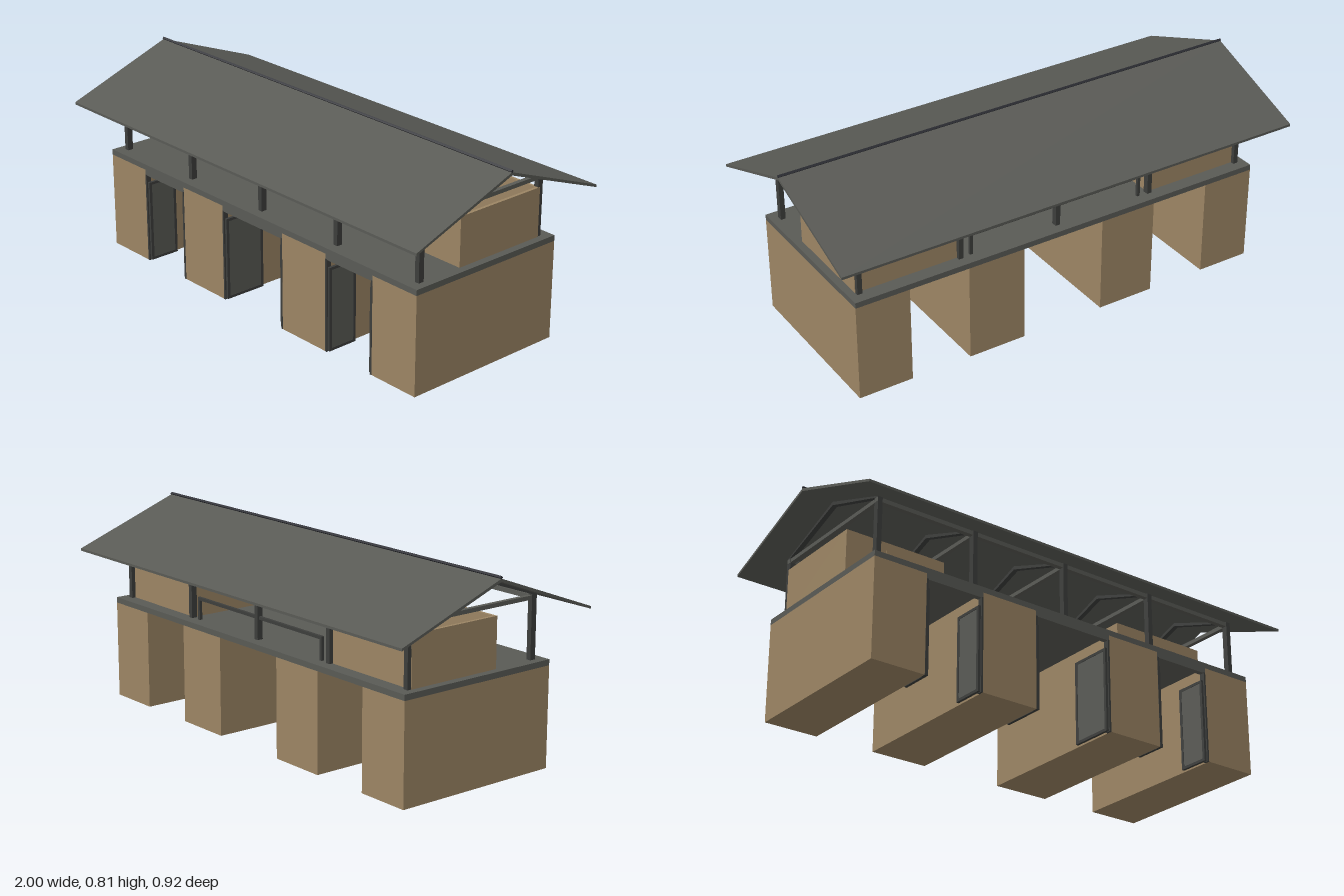
import * as THREE from 'three';

const mat = (name, color) => {
  const m = new THREE.MeshStandardMaterial({ color });
  m.name = name;
  return m;
};

export function createModel() {
  const tan = mat('tan wall', 0x9c8564);
  const grey = mat('grey metal', 0x595a55);
  const dark = mat('dark frame', 0x3d3e3c);
  const black = mat('ridge black', 0x2b2c32);
  const model = new THREE.Group();

  // Box given by its two extreme corners
  const box = (name, m, x0, x1, y0, y1, z0, z1) => {
    const g = new THREE.BoxGeometry(Math.abs(x1 - x0), y1 - y0, z1 - z0);
    const mesh = new THREE.Mesh(g, m);
    mesh.position.set((x0 + x1) / 2, (y0 + y1) / 2, (z0 + z1) / 2);
    mesh.name = name;
    model.add(mesh);
    return mesh;
  };
  // Closed profile of [z, y] points, extruded along x
  const profile = (name, m, pts, x, width) => {
    const shape = new THREE.Shape(pts.map(([z, y]) => new THREE.Vector2(-z, y)));
    const g = new THREE.ExtrudeGeometry(shape, { depth: width, bevelEnabled: false });
    g.translate(0, 0, -width / 2).rotateY(Math.PI / 2);
    const mesh = new THREE.Mesh(g, m);
    mesh.position.x = x;
    mesh.name = name;
    model.add(mesh);
  };

  // Deck slab
  box('deck', grey, -0.9, 0.9, 0.4, 0.423, -0.356, 0.356);

  for (const s of [-1, 1]) {
    // Ground floor blocks
    box('outerBlock', tan, s * 0.675, s * 0.9, 0, 0.4, -0.356, 0.356);
    box('innerBlock', tan, s * 0.178, s * 0.422, 0, 0.4, -0.356, 0.356);

    // Gate jambs and inward-opened leaves: [block face, direction into gap, leaf width]
    for (const [face, d, w] of [[0.675, -1, 0.12], [0.422, 1, 0.12], [0.178, -1, 0.17]]) {
      const x = (t) => s * (face + d * t);
      box('gateJamb', dark, x(0), x(0.008), 0, 0.38, 0.335, 0.357);
      box('gatePanel', grey, x(0.009), x(0.016), 0.012, 0.337, 0.34 - w, 0.35);
      for (const z of [0.345 - w, 0.345]) {
        box('gateStile', dark, x(0.007), x(0.018), 0.003, 0.346, z - 0.006, z + 0.006);
      }
      for (const y of [0.003, 0.335]) {
        box('gateRail', dark, x(0.007), x(0.018), y, y + 0.011, 0.345 - w, 0.345);
      }
    }
    box('sideLintel', grey, s * 0.422, s * 0.675, 0.377, 0.4, 0.335, 0.356);

    // Upper cabin: four walls and a door
    const a = 0.43, b = 0.869, t = 0.012;
    box('cabinFrontWall', tan, s * a, s * b, 0.423, 0.622, 0.101, 0.113);
    box('cabinBackWall', tan, s * a, s * b, 0.423, 0.622, -0.298, -0.286);
    box('cabinInnerWall', tan, s * a, s * (a + t), 0.423, 0.622, -0.286, 0.101);
    box('cabinOuterWall', tan, s * (b - t), s * b, 0.423, 0.622, -0.286, 0.101);
    box('cabinDoor', tan, s * 0.597, s * 0.693, 0.423, 0.588, 0.113, 0.117);

    // Wall plate along each eave, and end posts of the rear railing
    box('wallPlate', grey, -0.867, 0.867, 0.653, 0.67, s * 0.302 - 0.01, s * 0.302 + 0.01);
    box('railingPost', dark, s * 0.376, s * 0.388, 0.423, 0.515, -0.308, -0.296);
  }
  box('middleLintel', grey, -0.178, 0.178, 0.377, 0.4, 0.335, 0.356);
  box('railingTop', dark, -0.388, 0.388, 0.503, 0.515, -0.308, -0.296);

  // Five roof frames: posts, tie beam and rafters
  for (const x of [-0.857, -0.43, 0, 0.43, 0.857]) {
    for (const s of [-1, 1]) {
      box('post', dark, x - 0.01, x + 0.01, 0.423, 0.672, s * 0.302 - 0.012, s * 0.302 + 0.012);
    }
    box('tieBeam', grey, x - 0.009, x + 0.009, 0.653, 0.669, -0.292, 0.292);
    profile('rafters', dark, [
      [-0.312, 0.666], [0, 0.773], [0.312, 0.666],
      [0.312, 0.676], [0, 0.79], [-0.312, 0.676],
    ], x, 0.02);
  }

  // Gabled roof sheet with a thin ridge bar
  profile('roof', grey, [
    [-0.46, 0.618], [0, 0.788], [0.46, 0.618],
    [0.46, 0.628], [0, 0.8], [-0.46, 0.628],
  ], 0, 2);
  const ridge = box('ridgeBar', black, -1, 1, 0.799, 0.808, -0.0045, 0.0045);
  ridge.rotation.x = Math.PI / 4;

  return model;
}
